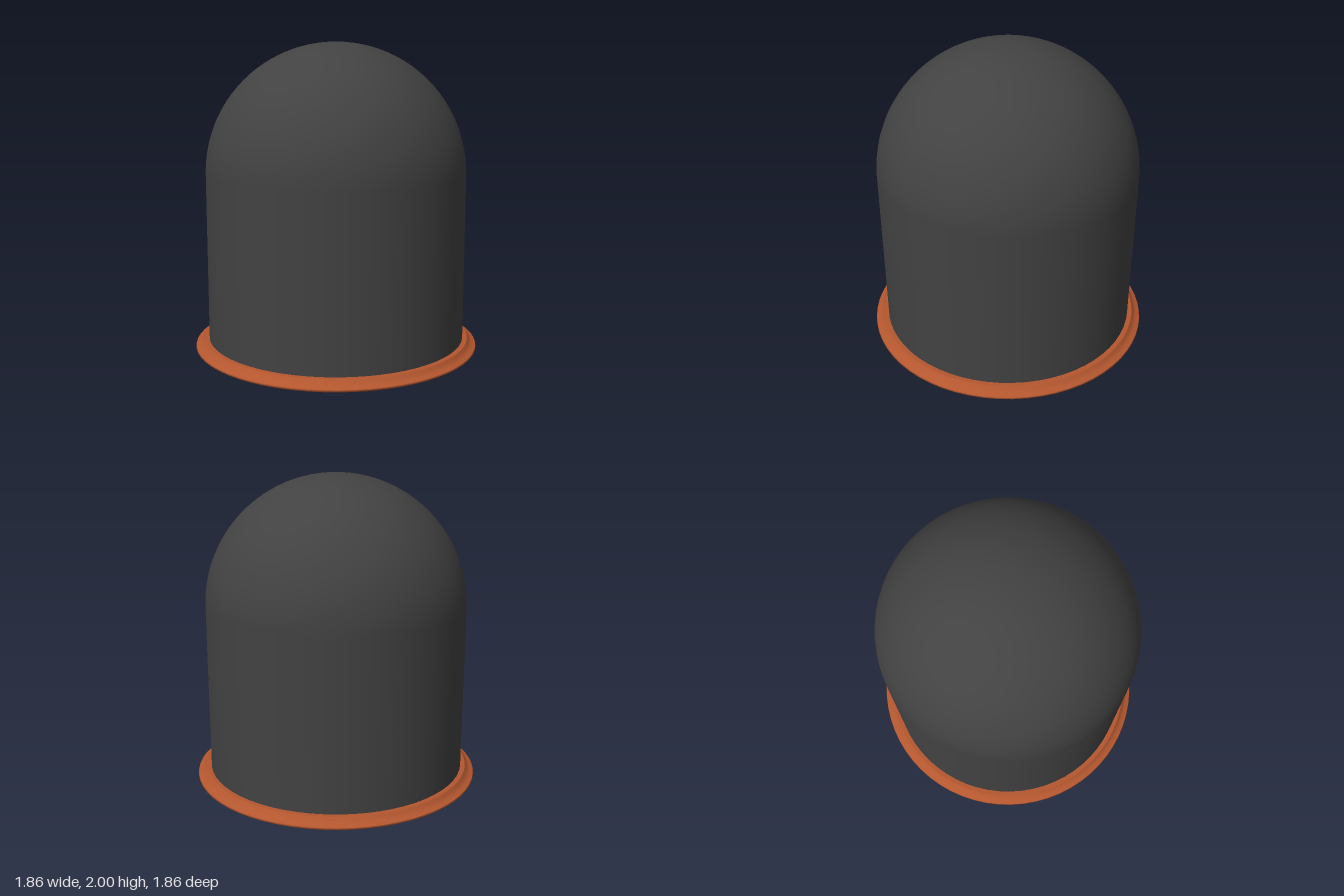
import * as THREE from 'three';

const SEGMENTS = 64;

// Revolves [radius, height] points, listed from the bottom up, around the y axis
function lathe(name, points, material) {
  const profile = points.map(([r, y]) => new THREE.Vector2(r, y));
  const mesh = new THREE.Mesh(new THREE.LatheGeometry(profile, SEGMENTS), material);
  mesh.name = name;
  return mesh;
}

export function createModel() {
  const darkGlass = new THREE.MeshStandardMaterial({ color: 0x424242 });
  darkGlass.name = 'dark glass';
  const wood = new THREE.MeshStandardMaterial({ color: 0xb4572f });
  wood.name = 'reddish wood';

  const model = new THREE.Group();
  model.name = 'domeJar';

  // Straight wall
  const radius = 0.84;
  const shoulder = 2 - radius;
  model.add(lathe('wall', [[radius, 0.07], [radius, shoulder]], darkGlass));

  // Hemispherical cap
  const cap = new THREE.Mesh(
    new THREE.SphereGeometry(radius, SEGMENTS, 24, 0, Math.PI * 2, 0, Math.PI / 2),
    darkGlass
  );
  cap.name = 'domeCap';
  cap.position.y = shoulder;
  model.add(cap);

  // Moulded base: underside, rounded lip, cove and top
  model.add(lathe('baseUnderside', [[0, 0], [0.5, 0.005], [0.8, 0.012], [0.87, 0.019]], wood));
  model.add(lathe('baseLip', [[0.87, 0.019], [0.915, 0.026], [0.928, 0.034], [0.925, 0.043]], wood));
  model.add(lathe('baseCove', [[0.925, 0.043], [0.9, 0.052], [0.885, 0.064], [0.876, 0.08], [0.87, 0.086]], wood));
  model.add(lathe('baseTop', [[0.87, 0.086], [0, 0.086]], wood));

  return model;
}
